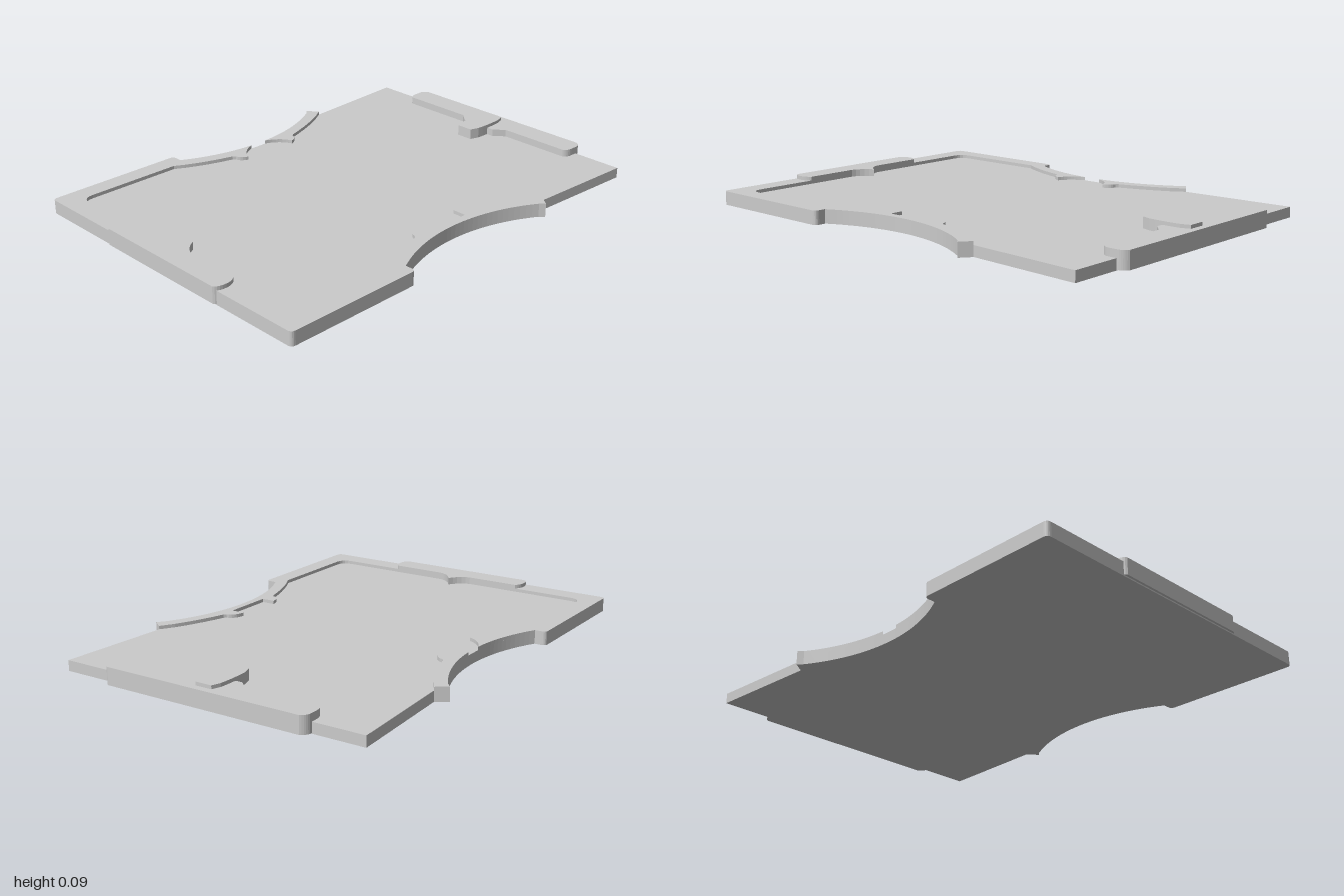
import * as THREE from 'three';

const material = new THREE.MeshStandardMaterial({ color: 0xcccccc, flatShading: true });

// Flat slab from an [x, z] outline, between two heights
function slab(name, points, bottom, top) {
  const shape = new THREE.Shape(points.map(([x, z]) => new THREE.Vector2(x, z)));
  const geometry = new THREE.ExtrudeGeometry(shape, { depth: top - bottom, bevelEnabled: false });
  geometry.rotateX(Math.PI / 2).translate(0, top, 0);
  const mesh = new THREE.Mesh(geometry, material);
  mesh.name = name;
  return mesh;
}

// Points on the waist arc of the back edge, from x0 to x1
function waist(x0, x1, n = 20) {
  const r = 0.77, centre = -1.355;
  return Array.from({ length: n + 1 }, (_, i) => {
    const x = x0 + (x1 - x0) * i / n;
    return [x, centre + Math.sqrt(r * r - x * x)];
  });
}

// Rounded corner as a quadratic bend through three points
function bend(a, b, c, n = 5) {
  const curve = new THREE.QuadraticBezierCurve(...[a, b, c].map(p => new THREE.Vector2(...p)));
  return curve.getPoints(n).map(p => [p.x, p.y]);
}

const mirrorZ = pts => pts.map(([x, z]) => [x, -z]).reverse();

export function createModel() {
  const group = new THREE.Group();
  group.name = 'tray';
  const baseTop = 0.045, rimTop = 0.06, tabTop = 0.077;

  // Left back corner, shared by the base and the rim
  const corner = [
    ...bend([-0.99, -0.71], [-0.99, -0.73], [-0.97, -0.73]),
    ...bend([-0.39, -0.73], [-0.37, -0.73], [-0.37, -0.71]),
  ];

  // Base plate with waisted sides
  const backEdge = [...corner, ...waist(-0.37, 0.405, 32),
    [0.425, -0.72], [0.46, -0.672], [0.96, -0.7]];
  group.add(slab('basePlate', [...backEdge, ...mirrorZ(backEdge)], 0, baseTop));

  // Inner edge of the rim, from the left side to the thumb notch
  const innerLeft = [
    ...bend([-0.9, -0.6], [-0.9, -0.65], [-0.85, -0.65]),
    [-0.43, -0.65],
    ...bend([-0.43, -0.65], [-0.33, -0.59], [-0.18, -0.55]),
    ...bend([-0.17, -0.54], [-0.165, -0.51], [-0.13, -0.5]),
  ];
  const innerRight = [
    ...bend([0.13, -0.5], [0.165, -0.51], [0.17, -0.54]),
    ...bend([0.18, -0.55], [0.3, -0.585], [0.4, -0.635]),
    [0.46, -0.672],
  ];
  const notchCurve = bend([-0.13, -0.5], [-0.11, -0.56], [-0.04, -0.586], 8);

  // Rim around the left end and along the whole front
  const backRim = [...corner, ...waist(-0.37, -0.04, 14)];
  const frontRim = [...corner, ...waist(-0.37, 0.405, 32), [0.425, -0.72]];
  const frontInner = [...innerLeft, [-0.11, -0.495], [-0.11, -0.555],
    [0.11, -0.555], [0.11, -0.495], ...innerRight];
  group.add(slab('rim', [
    ...backRim,
    ...notchCurve.slice(0, -1).reverse(),
    ...innerLeft.slice(0, -1).reverse(),
    ...frontInner.map(([x, z]) => [x, -z]),
    ...mirrorZ(frontRim),
  ], baseTop, rimTop));

  // Separate rim piece at the right of the back notch
  group.add(slab('backRightRim', [
    ...waist(0.04, 0.405, 16), [0.425, -0.72],
    ...innerRight.slice().reverse(),
    ...notchCurve.slice(1, -1).map(([x, z]) => [-x, z]),
  ], baseTop, rimTop));

  // Left tab with a pointed catch
  const leftHalf = [
    ...bend([-1, -0.32], [-0.99, -0.34], [-0.95, -0.34]),
    ...bend([-0.95, -0.34], [-0.92, -0.34], [-0.9, -0.32]),
    ...bend([-0.9, -0.08], [-0.89, -0.03], [-0.835, 0]),
  ];
  group.add(slab('leftTab', [...leftHalf, ...mirrorZ(leftHalf).slice(1)], 0.005, tabTop));

  // Right tab with a stepped middle
  const rightHalf = [
    [0.85, -0.085], [0.89, -0.13],
    ...bend([0.89, -0.455], [0.9, -0.475], [0.93, -0.475]),
    ...bend([0.97, -0.475], [0.99, -0.47], [1, -0.45]),
  ];
  group.add(slab('rightTab', [...rightHalf, ...mirrorZ(rightHalf)], 0.003, tabTop));

  // Raised latch across the right tab
  const latchBack = [[0.75, -0.037], ...bend([0.79, -0.05], [0.86, -0.056], [0.93, -0.05]), [0.97, -0.037]];
  group.add(slab('latch', [...latchBack, ...mirrorZ(latchBack)], baseTop, 0.092));

  return group;
}
